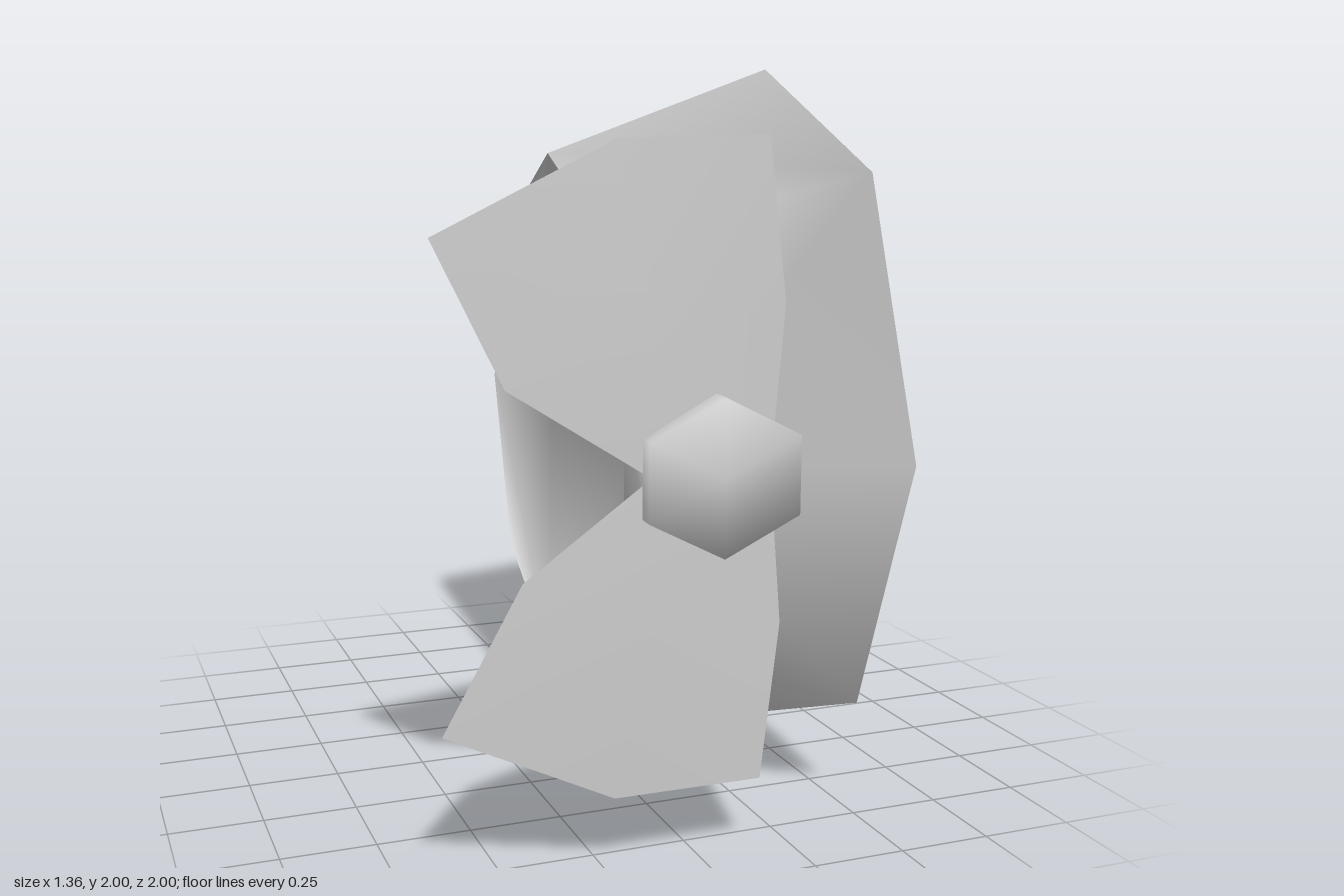
import * as THREE from 'three';
import { mergeVertices } from 'three/addons/utils/BufferGeometryUtils.js';

const lightGrey = new THREE.MeshStandardMaterial({ color: 0xcccccc, side: THREE.DoubleSide });
lightGrey.name = 'lightGrey';

function addMesh(group, name, geometry) {
  const mesh = new THREE.Mesh(geometry, lightGrey);
  mesh.name = name;
  group.add(mesh);
}

function smoothGeometry(points, index) {
  const g = new THREE.BufferGeometry();
  g.setAttribute('position', new THREE.Float32BufferAttribute(points.flat(), 3));
  g.setIndex(index);
  g.computeVertexNormals();
  return g;
}

// Eight points of a ring facing +x, leaning slightly toward the front;
// the top and bottom points sit a little further back
function ring(x, z, radiusZ, radiusY) {
  return Array.from({ length: 8 }, (_, k) => {
    const a = k * Math.PI / 4;
    const dz = radiusZ * Math.cos(a) - (k % 4 === 2 ? 0.04 : 0);
    return [x - 0.088 * dz, 1 + radiusY * Math.sin(a), z + dz];
  });
}

// Closed eight-sided drum, wide at +x and narrow at -x, shaded smooth throughout
function drumGeometry() {
  const points = [
    ...ring(0.588, 0, 1, 1), ...ring(-0.071, -0.075, 0.805, 0.755),
    [0.588, 1, 0], [-0.071, 1, -0.075],
  ];
  const index = [];
  for (let k = 0; k < 8; k++) {
    const n = (k + 1) % 8, p = (k + 7) % 8;
    if (k % 2) {
      // Wall, then a corner of the narrow cap and its share of the middle
      index.push(k, n, n + 8, k, n + 8, k + 8);
      index.push(p + 8, k + 8, n + 8, 17, p + 8, n + 8);
    } else {
      // Wall, then a corner of the wide cap and its share of the middle
      index.push(k, n, k + 8, n, n + 8, k + 8);
      index.push(n, k, p, 16, n, p);
    }
  }
  // Walls were listed inside out: turn the two wall triangles of each step
  for (let i = 0; i < index.length; i += 12) {
    for (const t of [i, i + 3]) [index[t + 1], index[t + 2]] = [index[t + 2], index[t + 1]];
  }
  return smoothGeometry(points, index);
}

// Thin blade: a fan around a middle point
function bladeGeometry(outline, middle) {
  const index = [];
  const n = outline.length;
  for (let k = 0; k < n; k++) index.push(n, (k + 1) % n, k);
  return smoothGeometry([...outline, middle], index);
}

export function createModel() {
  const model = new THREE.Group();
  model.name = 'drumWithPropeller';

  addMesh(model, 'drum', drumGeometry());

  // Six-sided hub
  let hub = new THREE.CylinderGeometry(0.195, 0.195, 0.2, 6);
  hub.deleteAttribute('normal');
  hub.deleteAttribute('uv');
  hub = mergeVertices(hub);
  hub.rotateX(Math.PI / 2);
  hub.scale(1.13, 1, 1);
  hub.rotateY(-0.08);
  hub.translate(0.014, 0.995, 0.862);
  hub.computeVertexNormals();
  addMesh(model, 'hub', hub);

  // Two blades, clockwise from the root
  addMesh(model, 'upperBlade', bladeGeometry([
    [-0.18, 1.01, 0.895], [-0.51, 1.22, 0.865], [-0.68, 1.57, 0.845], [-0.24, 1.79, 0.88],
    [0.145, 1.8, 0.885], [0.2, 1.4, 0.875], [0.17, 1.08, 0.88],
  ], [-0.15, 1.33, 0.9]));
  addMesh(model, 'lowerBlade', bladeGeometry([
    [0.17, 0.92, 0.88], [0.2, 0.6, 0.875], [0.15, 0.2, 0.88], [-0.24, 0.2, 0.875],
    [-0.665, 0.4, 0.845], [-0.47, 0.76, 0.865], [-0.18, 0.98, 0.895],
  ], [-0.15, 0.67, 0.9]));

  return model;
}
